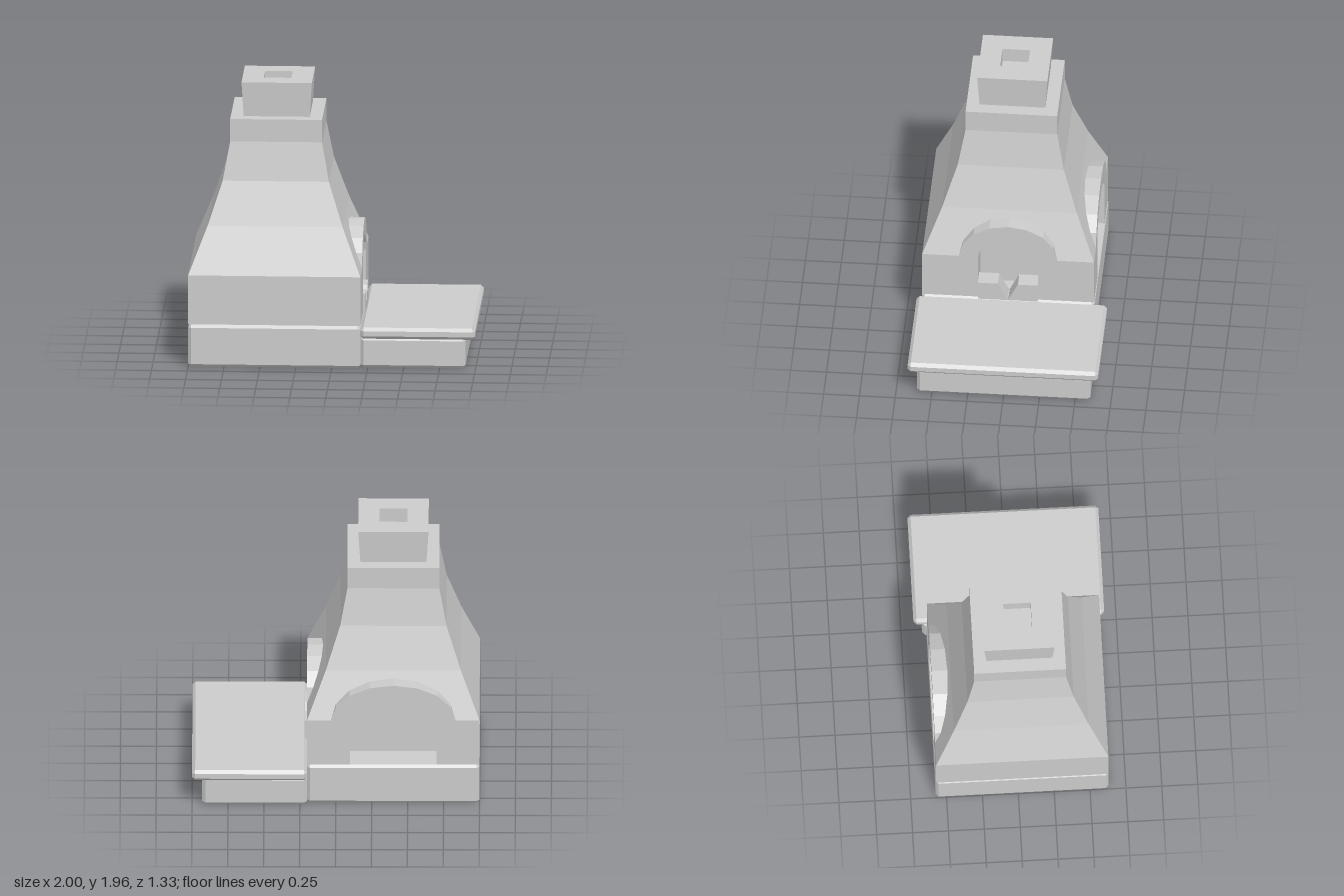
import * as THREE from 'three';
import { ConvexGeometry } from 'three/addons/geometries/ConvexGeometry.js';

const SILL = 0.305, SPRING = 0.655, SHOULDER = 0.98, HALF = 0.6, UPPER = 0.47;
const material = new THREE.MeshStandardMaterial({ color: 0xcccccc, flatShading: true });
const thin = material.clone();
thin.side = THREE.DoubleSide;

function add(parent, name, geometry, mat = material) {
  const mesh = new THREE.Mesh(geometry, mat);
  mesh.name = name;
  parent.add(mesh);
  return mesh;
}

// Box with every edge and corner chamfered
function chamferBox([x0, x1], [y0, y1], [z0, z1], c) {
  const half = [(x1 - x0) / 2, (y1 - y0) / 2, (z1 - z0) / 2];
  const points = [];
  for (const sx of [-1, 1]) for (const sy of [-1, 1]) for (const sz of [-1, 1]) {
    for (let axis = 0; axis < 3; axis++) {
      const h = half.map((v, i) => (i === axis ? v : v - c));
      points.push(new THREE.Vector3(sx * h[0], sy * h[1], sz * h[2]));
    }
  }
  return new ConvexGeometry(points).translate((x0 + x1) / 2, (y0 + y1) / 2, (z0 + z1) / 2);
}

// Square tower from a profile of [half width, y]
function squareLathe(profile) {
  const points = profile.map(([r, y]) => new THREE.Vector2(r * Math.SQRT2, y));
  return new THREE.LatheGeometry(points, 4, Math.PI / 4);
}

const polygon = (points) => new THREE.Shape(points.map(([x, y]) => new THREE.Vector2(x, y)));

// Half ellipse from left to right above the spring line
function arch(halfWidth, rise) {
  const points = [];
  for (let i = 0; i <= 8; i++) {
    const a = Math.PI * (1 - i / 8);
    points.push([halfWidth * Math.cos(a), SPRING + rise * Math.sin(a)]);
  }
  return points;
}

const door = (w, rise) => [[-w, SILL], ...arch(w, rise), [w, SILL]];

// One side of the oven, facing local +z, with an optional arched niche
function ovenSide(name, opening) {
  const side = new THREE.Group();
  side.name = name;
  const outer = opening ? opening + 0.133 : 0;

  // Upright wall on both sides of the doorway
  for (const s of [-1, 1]) {
    const panel = polygon([[s * HALF, SILL], [s * outer, SILL], [s * outer, SPRING], [s * HALF, SPRING]]);
    add(side, 'lowerWall', new THREE.ShapeGeometry(panel).translate(0, 0, HALF));
  }

  // Sloping wall, cut out around the arch
  const cut = opening ? arch(outer, 0.275) : [];
  const slope = new THREE.ShapeGeometry(polygon(
    [[-HALF, SPRING], ...cut, [HALF, SPRING], [UPPER, SHOULDER], [-UPPER, SHOULDER]]));
  const p = slope.attributes.position;
  for (let i = 0; i < p.count; i++) {
    const t = (p.getY(i) - SPRING) / (SHOULDER - SPRING);
    p.setZ(i, HALF + (UPPER - HALF) * t);
  }
  slope.computeVertexNormals();
  add(side, 'slopingWall', slope);

  if (opening) {
    const inner = door(opening, 0.155);
    const surround = polygon([...door(outer, 0.275), ...[...inner].reverse()]);
    add(side, 'archSurround', new THREE.ExtrudeGeometry(surround, { depth: 0.2, bevelEnabled: false })
      .translate(0, 0, 0.4));
    add(side, 'nicheBack', new THREE.ShapeGeometry(polygon(inner)).translate(0, 0, 0.401));
  }
  return side;
}

export function createModel() {
  const model = new THREE.Group();
  model.name = 'outdoorOven';

  // Plinth, bench and worktop
  add(model, 'ovenPlinth', chamferBox([-1, 0.2], [0, 0.3], [-0.575, 0.63], 0.02));
  add(model, 'benchBase', chamferBox([0.2, 0.93], [0, 0.22], [-0.605, 0.605], 0.022));
  add(model, 'worktop', chamferBox([0.2, 1], [0.22, 0.3], [-0.665, 0.665], 0.022));

  const oven = new THREE.Group();
  oven.name = 'oven';
  oven.position.set(-0.4, 0, 0.028);
  model.add(oven);

  // Four walls: plain front and right, arched left and back
  const niches = [0, 0.21, 0.3, 0];
  ['frontSide', 'leftSide', 'backSide', 'rightSide'].forEach((name, i) => {
    const side = ovenSide(name, niches[i]);
    side.rotation.y = i * Math.PI / 2;
    oven.add(side);

    // Notched grate stone in the left niche
    if (name === 'leftSide') {
      for (const s of [-1, 1]) {
        const stone = polygon([[s * 0.21, 0.3], [0, 0.3], [s * 0.07, 0.44], [s * 0.21, 0.44]]);
        add(side, 'grateStone', new THREE.ExtrudeGeometry(stone, { depth: 0.12, bevelEnabled: false })
          .translate(0, 0, 0.497));
      }
    }
  });
  add(oven, 'ovenFloor', new THREE.PlaneGeometry(2 * HALF, 2 * HALF).rotateX(-Math.PI / 2)
    .translate(0, SILL, 0), thin);

  // Hood narrowing to the chimney
  add(oven, 'hood', squareLathe([[UPPER, SHOULDER], [0.37, 1.28], [0.32, 1.55], [0.32, 1.71], [0, 1.71]]));

  // Flared chimney with a square flue
  add(oven, 'chimney', squareLathe([[0.23, 1.71], [0.245, 1.955], [0.096, 1.955], [0.096, 1.85], [0, 1.85]]));

  return model;
}
